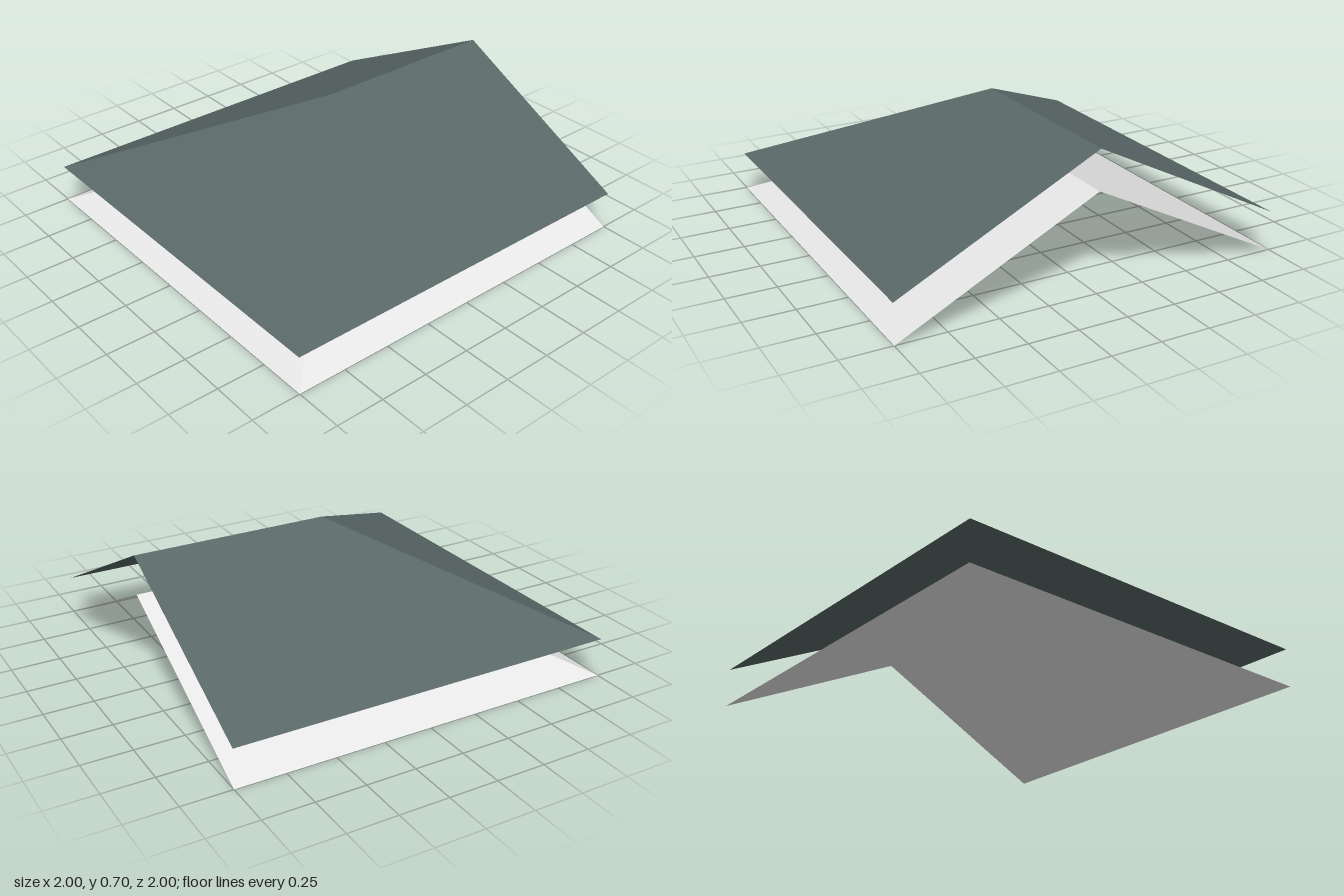
import * as THREE from 'three';

// Open shell with three slopes: hipped on the right, open gable on the left
function hippedShell(rise) {
  const backRight = [-1, 0, -1], frontRight = [-1, 0, 1];
  const frontLeft = [1, 0, 1], backLeft = [1, 0, -1];
  const peak = [0, rise, 0], ridgeEnd = [1, rise, 0];
  const triangles = [
    [frontRight, frontLeft, ridgeEnd], [frontRight, ridgeEnd, peak], // front slope
    [backLeft, backRight, peak], [backLeft, peak, ridgeEnd],         // back slope
    [backRight, frontRight, peak],                                   // hip end
  ];
  const geometry = new THREE.BufferGeometry();
  geometry.setAttribute('position', new THREE.Float32BufferAttribute(triangles.flat(2), 3));
  geometry.computeVertexNormals();
  return geometry;
}

export function createModel() {
  const slate = new THREE.MeshStandardMaterial({ color: 0x5a6868, side: THREE.DoubleSide, flatShading: true });
  slate.name = 'slate grey';
  const white = new THREE.MeshStandardMaterial({ color: 0xf2f2f2, side: THREE.DoubleSide, flatShading: true });
  white.name = 'off white';

  const group = new THREE.Group();
  group.name = 'hippedRoof';
  const geometry = hippedShell(0.5);

  // Pale ceiling below, dark roof covering above it
  for (const [name, material, y] of [['ceiling', white, 0], ['roofCovering', slate, 0.2]]) {
    const mesh = new THREE.Mesh(geometry, material);
    mesh.name = name;
    mesh.position.y = y;
    group.add(mesh);
  }
  return group;
}
